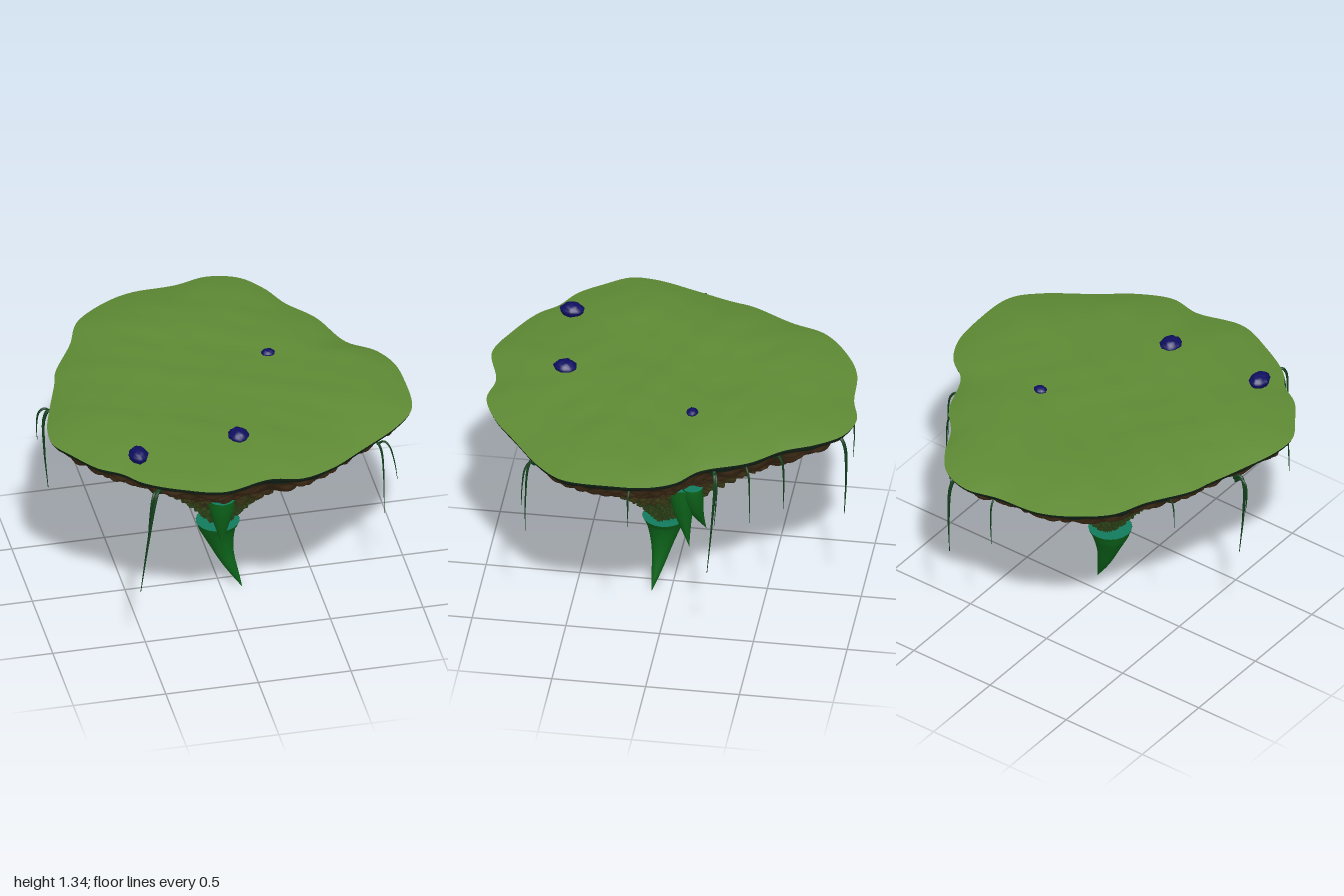
import * as THREE from 'three';

// Island outline seen from above, x and z
const OUTLINE = [
  [0.95, 0], [0.97, 0.18], [0.95, 0.45], [0.85, 0.58], [0.61, 0.76], [0.43, 0.89], [0.25, 0.96], [0.08, 0.935],
  [-0.18, 0.995], [-0.39, 0.92], [-0.58, 0.81], [-0.67, 0.71], [-0.79, 0.63], [-0.89, 0.5], [-0.97, 0.37],
  [-0.97, 0.23], [-0.91, 0.02], [-0.84, -0.19], [-0.81, -0.3], [-0.68, -0.53], [-0.6, -0.72], [-0.42, -0.87],
  [-0.26, -0.94], [-0.02, -0.96], [0.16, -1], [0.32, -0.95], [0.43, -0.82], [0.51, -0.66], [0.64, -0.5],
  [0.75, -0.25], [0.88, -0.14],
];
const SIDES = 300;
const V = (x, y, z) => new THREE.Vector3(x, y, z);
const { sin, PI } = Math;
const rim = new THREE.CatmullRomCurve3(OUTLINE.map(([x, z]) => V(x, 0, z)), true).getSpacedPoints(SIDES);
const rimWave = (j) => 0.005 * sin((j / SIDES) * PI * 10);

const mat = (color, opts = {}) => new THREE.MeshStandardMaterial({ color, ...opts });
const GRASS = mat(0x5e8a34);
const HORN = mat(0x0d641a, { side: THREE.DoubleSide });
const CAP = mat(0x127a5c, { side: THREE.DoubleSide });
const VINE = mat(0x123f1c);
const ROCK = mat(0x0e0e60);
const SOIL = [0x14261a, 0x3a2814, 0x42321a, 0x3c3a18, 0x30461a].map((c) => mat(c));

function mesh(name, geometry, material) {
  const m = new THREE.Mesh(geometry, material);
  m.name = name;
  return m;
}

// Closed rings joined row by row; point(i, j) returns a vertex
function loft(rows, point) {
  const pos = [], idx = [];
  for (let i = 0; i <= rows; i++) {
    for (let j = 0; j < SIDES; j++) {
      pos.push(...point(i, j).toArray());
      if (i === rows) continue;
      const a = i * SIDES + j, b = i * SIDES + ((j + 1) % SIDES);
      idx.push(a, b, a + SIDES, b, b + SIDES, a + SIDES);
    }
  }
  const g = new THREE.BufferGeometry();
  g.setAttribute('position', new THREE.Float32BufferAttribute(pos, 3));
  g.setIndex(idx);
  g.computeVertexNormals();
  return g;
}

// Tube whose radius follows radius(t) along the curve
function taperedTube(curve, segs, sides, radius) {
  const g = new THREE.TubeGeometry(curve, segs, 1, sides);
  const p = g.attributes.position, v = V(0, 0, 0);
  for (let i = 0; i <= segs; i++) {
    const c = curve.getPointAt(i / segs);
    for (let j = 0; j <= sides; j++) {
      const k = i * (sides + 1) + j;
      v.fromBufferAttribute(p, k).sub(c).multiplyScalar(radius(i / segs)).add(c);
      p.setXYZ(k, v.x, v.y, v.z);
    }
  }
  g.computeVertexNormals();
  return g;
}

// Gently domed, rippled lawn; the first ring is a tiny flat centre
function makeGrass() {
  const rows = 30;
  return mesh('grassTop', loft(rows, (i, j) => {
    const f = Math.max(i / rows, 0.001), x = rim[j].x * f, z = rim[j].z * f;
    const ripple = 0.003 * (sin(9 * x + 4 * z) + sin(11 * z - 5 * x + 1))
      + 0.0015 * (sin(23 * x + 3 * sin(7 * z)) + sin(26 * z - 12 * x));
    return V(x, 1.237 + rimWave(j) * f ** 4 + 0.062 * (1 - f ** 4.5) + ripple * (1 - f ** 4), z);
  }), GRASS);
}

// Tapering underside with staggered rows of small lumpy scales
function makeUnderside() {
  const profile = [
    [1, 1.237], [0.99, 1.217], [0.95, 1.185], [0.85, 1.1], [0.7, 1.0], [0.55, 0.9],
    [0.425, 0.8], [0.31, 0.7], [0.205, 0.6], [0.12, 0.5], [0.055, 0.42], [0.03, 0.38],
  ];
  const rows = 170;
  const pts = new THREE.CatmullRomCurve3(profile.map(([f, y]) => V(f, y, 0))).getSpacedPoints(rows);
  const geometry = loft(rows, (i, j) => {
    const { x: f, y } = pts[i];
    const x = rim[j].x * f, z = rim[j].z * f, a = (j / SIDES) * PI * 2;
    const fade = THREE.MathUtils.smoothstep(i / rows, 0.015, 0.08);
    const wobble = 0.2 * sin(9 * a + 5 * y) + 0.2 * sin(16 * a - 8 * y) + 0.15 * sin(28 * x - 23 * z);
    const phase = (1.2 - y) * 20 + wobble, row = Math.floor(phase);
    const shelf = sin(PI * (phase - row) ** 1.5);
    const lump = sin(34 * a + 2.4 * row + 1.5 * sin(5 * a + row)) * shelf;
    const d = fade * (0.02 * (shelf - 0.5) + 0.009 * lump) * (0.4 + 0.6 * Math.min(1, f * 2.5));
    return V(
      x + rim[j].x * d,
      y - fade * (0.012 * (shelf - 0.5) + 0.006 * lump) + rimWave(j) * (1 - fade),
      z + rim[j].z * d + 0.05 * (1 - f),
    );
  });
  // Soil bands, from the dark rim down to the mossy tip
  const cuts = [0, 8, 50, 90, 125, rows];
  SOIL.forEach((_, b) => geometry.addGroup(cuts[b] * SIDES * 6, (cuts[b + 1] - cuts[b]) * SIDES * 6, b));
  return mesh('rockyUnderside', geometry, SOIL);
}

// Curved horn hanging from a flat cap; bulge swells its middle
function makeHorn(base, tip, r, bulge) {
  const group = new THREE.Group();
  group.name = 'hangingHorn';
  const h = base.y - tip.y;
  const mid = base.clone().lerp(tip, 0.3).setY(base.y - h * 0.5);
  const curve = new THREE.CatmullRomCurve3([base, base.clone().setY(base.y - 0.08 * h), mid, tip]);
  const horn = taperedTube(curve, 24, 20, (t) => r * ((1 - t) * (1 + bulge * sin(PI * t)) + 0.004));
  const cap = new THREE.CircleGeometry(r, 20).rotateX(-PI / 2).translate(base.x, base.y, base.z);
  group.add(mesh('horn', horn, HORN), mesh('hornCap', cap, CAP));
  return group;
}

// Vine that arches out from under the rim, then hangs down to its end
function makeVine([topX, topZ, endX, endZ, endY, r]) {
  const top = V(topX, 1.2, topZ), end = V(endX, endY, endZ);
  const inward = V(-topX, 0, -topZ).normalize();
  const along = (t, k) => top.clone().lerp(end, t).addScaledVector(inward, k);
  const curve = new THREE.CatmullRomCurve3([
    along(0, 0.06).setY(1.17), along(0, 0.02), along(0.1, -0.006), along(0.5, -0.012), end,
  ]);
  return mesh('vine', taperedTube(curve, 28, 6, (t) => r * (1 - 0.85 * t)), VINE);
}

// Lumpy boulder
function makeRock([x, y, z, rx, ry, rz]) {
  const g = new THREE.SphereGeometry(1, 24, 16);
  const p = g.attributes.position, v = V(0, 0, 0);
  for (let i = 0; i < p.count; i++) {
    v.fromBufferAttribute(p, i);
    v.multiplyScalar(1 + 0.06 * sin(7 * v.x + 2) * sin(8 * v.z + x * 9) + 0.05 * sin(9 * v.y));
    p.setXYZ(i, v.x * rx, v.y * ry, v.z * rz);
  }
  g.computeVertexNormals();
  const m = mesh('boulder', g, ROCK);
  m.position.set(x, y, z);
  return m;
}

export function createModel() {
  const model = new THREE.Group();
  model.name = 'floatingIsland';
  model.add(makeGrass(), makeUnderside());

  // Horns: base, tip, radius, bulge
  model.add(
    makeHorn(V(-0.01, 0.41, 0.05), V(0.11, 0, 0.1), 0.116, -0.2),
    makeHorn(V(-0.067, 0.79, 0.4), V(-0.065, 0.49, 0.4), 0.073, 0.2),
    makeHorn(V(0.31, 0.83, -0.09), V(0.31, 0.44, -0.13), 0.072, 0.2),
    makeHorn(V(0.33, 0.84, -0.15), V(0.23, 0.51, -0.21), 0.055, 0.3),
  );

  // Vines: top x and z, end x and z, lowest y, radius
  const vines = [
    [-0.93, -0.01, -0.91, -0.02, 0.7, 0.011], [-0.95, -0.03, -0.965, -0.04, 1.0, 0.008],
    [-0.52, 0.87, -0.6, 0.84, 0.56, 0.012], [-0.54, 0.88, -0.565, 0.86, 0.9, 0.009],
    [0.72, -0.33, 0.755, -0.29, 0.59, 0.011], [0.74, -0.34, 0.77, -0.33, 0.9, 0.008],
    [0.73, 0.66, 0.75, 0.68, 0.76, 0.008], [0.77, 0.67, 0.82, 0.69, 0.97, 0.007],
    [0.95, 0.1, 0.96, 0.1, 0.98, 0.008], [0.64, -0.49, 0.65, -0.5, 0.86, 0.007],
    [0.51, -0.65, 0.51, -0.66, 0.87, 0.008], [0.29, -0.95, 0.3, -0.955, 0.73, 0.011],
    [0.02, -0.95, 0.02, -0.96, 0.9, 0.007], [-0.75, -0.4, -0.765, -0.4, 1.03, 0.006],
  ];
  vines.forEach((v) => model.add(makeVine(v)));

  // Boulders: centre, then half sizes
  const rocks = [
    [-0.565, 1.287, 0.625, 0.05, 0.036, 0.064], [-0.015, 1.3, 0.58, 0.054, 0.036, 0.06],
    [0.305, 1.298, -0.145, 0.036, 0.02, 0.03],
  ];
  rocks.forEach((r) => model.add(makeRock(r)));
  return model;
}
